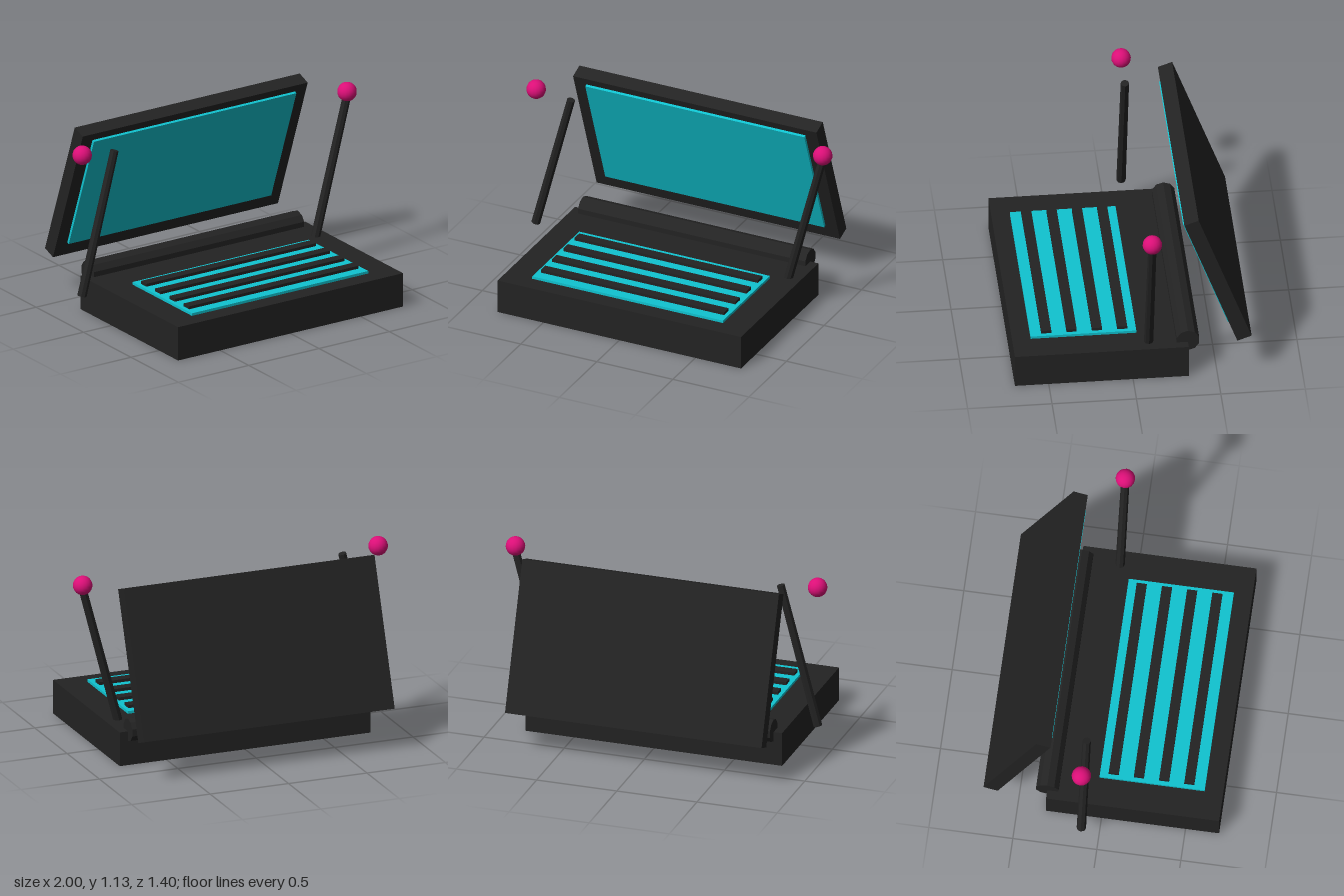
import * as THREE from 'three';

export function createModel() {
  const group = new THREE.Group();
  const material = (name, color, flatShading) => {
    const m = new THREE.MeshStandardMaterial({ color, flatShading });
    m.name = name;
    return m;
  };
  const casing = material('charcoal casing', 0x232323, true);
  const glow = material('cyan glow', 0x10c3d0, true);
  const tip = material('magenta tip', 0xdc0f78, false);

  const add = (name, geometry, mat, x, y, z, parent = group) => {
    const mesh = new THREE.Mesh(geometry, mat);
    mesh.name = name;
    mesh.position.set(x, y, z);
    parent.add(mesh);
    return mesh;
  };
  const box = (w, h, d) => new THREE.BoxGeometry(w, h, d);

  // Base with the lit keyboard bed and four rows of keys
  add('base', box(1.6, 0.21, 1.03), casing, 0, 0.105, 0.185);
  add('keyboardBed', box(1.254, 0.02, 0.626), glow, 0, 0.216, 0.277);
  for (let i = 0; i < 4; i++) {
    add('keyRow', box(1.205, 0.03, 0.06), casing, 0, 0.229, 0.045 + i * 0.15);
  }

  // Ten-sided hinge bar along the back edge
  const hinge = new THREE.CylinderGeometry(0.07, 0.07, 1.495, 10);
  hinge.rotateY(Math.PI / 2).rotateZ(Math.PI / 2);
  add('hinge', hinge, casing, 0, 0.22, -0.33);

  // Lid leaning forward, with its display panel
  const lid = new THREE.Group();
  lid.name = 'lid';
  lid.position.set(0, 0.681, -0.503);
  lid.rotation.x = 0.35;
  group.add(lid);
  add('lidShell', box(1.6, 0.915, 0.09), casing, 0, 0, 0, lid);
  add('display', box(1.44, 0.776, 0.02), glow, 0, 0.023, 0.052, lid);

  // Two parallel leaning antennas and their round tips
  for (const side of [-1, 1]) {
    const rod = add('antenna', new THREE.CylinderGeometry(0.025, 0.028, 0.9, 8), casing, side * 0.828, 0.62, -0.1);
    rod.rotation.z = -0.26;
    add('antennaTip', new THREE.SphereGeometry(0.058, 16, 12), tip, side * 0.942, 1.073, -0.1);
  }
  return group;
}
